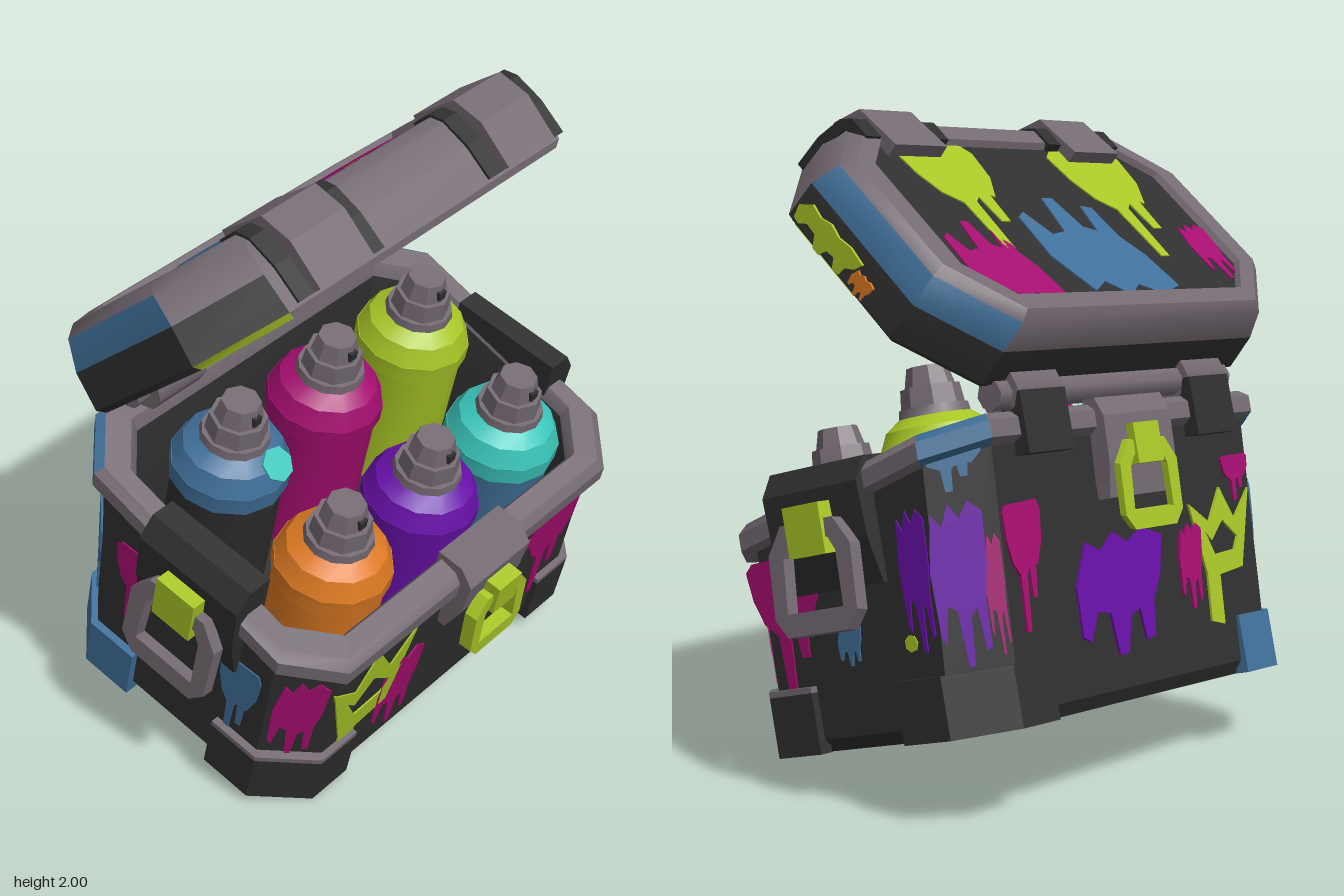
import * as THREE from 'three';
import { toCreasedNormals } from 'three/addons/utils/BufferGeometryUtils.js';

const mat = (name, color) => new THREE.MeshStandardMaterial({ name, color });
const DARK = mat('charcoal', 0x2f2f2f), GREY = mat('wornGrey', 0x746a72), LIME = mat('lime', 0xa8c626),
  BLUE = mat('blue', 0x40709a), MAGENTA = mat('magenta', 0xa50e70), PURPLE = mat('purple', 0x6810a8),
  ORANGE = mat('orange', 0xdd7a22), CYAN = mat('cyan', 0x3ac6ba);

function add(parent, name, geo, material, x = 0, y = 0, z = 0, rx = 0, ry = 0) {
  const m = new THREE.Mesh(geo, material);
  m.name = name;
  m.position.set(x, y, z);
  m.rotation.set(rx, ry, 0, 'YXZ');
  parent.add(m);
  return m;
}

// Corner-cut rectangle; sides run right, back right, back, back left, left, front left, front, front right
function ring({ w, d, c, y, z = 0, slope = 0 }) {
  return [[w, d - c], [w, c - d], [w - c, -d], [c - w, -d], [-w, c - d], [-w, d - c], [c - w, d], [w - c, d]]
    .map(([px, pz]) => new THREE.Vector3(px, y - slope * (pz + z), pz + z));
}

// Skin through the rings, closed by a cap at each end; paint(band, side) picks the material
function loft(parent, name, specs, paint) {
  const rings = specs.map(ring), pos = [], mats = [], geo = new THREE.BufferGeometry();
  const tri = (m, ...v) => {
    if (!mats.includes(m)) mats.push(m);
    geo.addGroup(pos.length / 3, 3, mats.indexOf(m));
    v.forEach(p => pos.push(p.x, p.y, p.z));
  };
  const cap = (r, m, flip) => {
    const mid = r.reduce((s, p) => s.add(p), new THREE.Vector3()).divideScalar(8);
    r.forEach((p, j) => flip ? tri(m, r[(j + 1) % 8], p, mid) : tri(m, p, r[(j + 1) % 8], mid));
  };
  cap(rings[0], DARK, true);
  for (let i = 0; i < rings.length - 1; i++) for (let j = 0; j < 8; j++) {
    const a = rings[i], b = rings[i + 1], k = (j + 1) % 8, m = paint(i, j);
    tri(m, a[j], a[k], b[k]);
    tri(m, a[j], b[k], b[j]);
  }
  cap(rings[rings.length - 1], DARK, false);
  geo.setAttribute('position', new THREE.Float32BufferAttribute(pos, 3));
  return add(parent, name, toCreasedNormals(geo, 0.55), mats);
}

const outline = pts => new THREE.Shape(pts.map(p => new THREE.Vector2(...p)));
const extrude = (shape, depth) => new THREE.ExtrudeGeometry(shape, { depth, bevelEnabled: false });

// Side profile given as [z, y], extruded across the width
const profile = (pts, width) => extrude(outline(pts), width).rotateY(-Math.PI / 2).translate(width / 2, 0, 0);

// Paint splats: a blob with runs hanging from it, and a jagged patch
const DRIP = [[-.5, -.06], [-.4, 0], [.42, .02], [.5, -.06], [.46, -.3], [.3, -.5], [.25, -.48], [.22, -.74], [.11, -.74],
  [.08, -.5], [0, -.55], [-.03, -1], [-.14, -1], [-.17, -.56], [-.34, -.46], [-.45, -.28]];
const JAG = [[-.5, .1], [-.36, .45], [-.2, .36], [-.05, .5], [.1, .4], [.28, .5], [.5, .42], [.44, .1], [.34, -.1],
  [.32, -.4], [.22, -.42], [.17, -.15], [.06, -.2], [0, -.5], [-.1, -.5], [-.16, -.15], [-.3, -.12], [-.4, -.35], [-.48, -.3]];
const place = (pts, x, y, w, h) => outline(pts.map(([a, b]) => [x + a * w, y + b * h]));
const drip = (...at) => place(DRIP, ...at);
const jag = (...at) => place(JAG, ...at);
const dot = (x, y, r) => outline([0, 1, 2, 3, 4, 5, 6].map(i => [x + r * Math.cos(i * .9), y + r * Math.sin(i * .9)]));
const crown = (x, y, s) => {
  const at = ([a, b]) => [x + a * s, y + b * s];
  const shape = outline([[-.5, .4], [-.2, .2], [.02, .52], [.22, .2], [.5, .48], [.28, -.28], [-.1, -.32],
    [-.1, -.8], [-.3, -.75], [-.3, -.3]].map(at));
  shape.holes.push(new THREE.Path([[-.28, .12], [-.15, -.12], [.17, -.1], [.24, .02], [.02, .2], [-.18, .02]]
    .map(p => new THREE.Vector2(...at(p)))));
  return shape;
};

// Clasp or carry handle: back block, tab and hanging loop
function clasp(parent, name, [plate, tab, loop], [size, depth], x, y, z, ry, tilt) {
  const g = new THREE.Group();
  g.name = name;
  g.position.set(x, y, z);
  g.rotation.set(0, ry, 0);
  g.scale.set(size, size, depth);
  add(g, 'mountPlate', profile([[-.05, -.25], [.04, -.25], [.08, -.15], [.09, -.03], [.04, .02], [-.05, .02]], .29), plate);
  add(g, 'tab', new THREE.BoxGeometry(.11, .11, .06), tab, 0, -.115, .11);
  const frame = outline([[-.08, 0], [.08, 0], [.125, -.06], [.125, -.2], [.09, -.24], [-.09, -.24], [-.125, -.2], [-.125, -.06]]);
  frame.holes.push(new THREE.Path([[-.06, -.04], [-.08, -.07], [-.085, -.19], [.085, -.19], [.08, -.07], [.06, -.04]]
    .map(p => new THREE.Vector2(...p))));
  add(g, 'loop', extrude(frame, .045), loop, 0, -.1, .08, tilt);
  parent.add(g);
}

function sprayCan(parent, x, z, top, upper, lower) {
  const g = new THREE.Group();
  g.name = 'sprayCan';
  g.position.set(x, 0, z);
  const cyl = (name, r1, r2, y1, y2, m, n = 12) =>
    add(g, name, toCreasedNormals(new THREE.CylinderGeometry(r1, r2, y2 - y1, n), .6), m, 0, (y1 + y2) / 2);
  cyl('canBody', .172, .172, .28, top - .29, lower);
  cyl('canEdge', .185, .185, top - .3, top - .24, upper);
  cyl('canShoulder', .155, .183, top - .24, top - .18, upper);
  cyl('canTop', .1, .155, top - .18, top - .14, upper);
  cyl('canCollar', .105, .11, top - .15, top - .12, GREY);
  cyl('nozzleBase', .088, .095, top - .12, top - .06, GREY, 8);
  cyl('nozzle', .06, .075, top - .06, top, GREY, 8);
  add(g, 'sprayHole', new THREE.BoxGeometry(.03, .03, .02), DARK, 0, top - .035, .064);
  parent.add(g);
}

export function createModel() {
  const model = new THREE.Group();
  model.name = 'paintChest';
  const chest = new THREE.Group();
  chest.name = 'tiltedChest';
  chest.position.set(.01, .151, -.099);
  chest.rotation.set(.262, .175, 0);
  model.add(chest);

  // Tub with a thick rim that slopes down to the front
  const slope = .2;
  loft(chest, 'tub', [
    { w: .70, d: .44, c: .13, y: 0 }, { w: .74, d: .475, c: .14, y: .04 },
    { w: .74, d: .50, c: .14, y: .68, z: -.03, slope }, { w: .775, d: .535, c: .15, y: .695, z: -.025, slope },
    { w: .775, d: .535, c: .15, y: .745, z: -.025, slope }, { w: .75, d: .51, c: .14, y: .77, z: -.025, slope },
    { w: .69, d: .45, c: .13, y: .77, z: -.025, slope }, { w: .67, d: .43, c: .12, y: .73, z: -.025, slope },
    { w: .64, d: .40, c: .12, y: .27, z: -.01 }],
  (i, j) => i < 2 || i > 6 ? DARK : i < 5 && (j === 1 || j === 3) ? BLUE : GREY);

  // Corner feet
  for (const sx of [-1, 1]) for (const sz of [-1, 1]) {
    const plan = outline([[.46, .45], [.46, .495], [.62, .495], [.765, .35], [.765, .17], [.72, .17], [.72, .32], [.59, .45]]
      .map(([x, z]) => [sx * x, -sz * z]));
    add(chest, 'foot', extrude(plan, .18).rotateX(-Math.PI / 2), sx < 0 && sz < 0 ? BLUE : DARK);
    if (sz > 0) add(chest, 'footTrim', extrude(plan, .018).rotateX(-Math.PI / 2), GREY, 0, .18, 0);
  }

  // Front and back clasps, side handles
  clasp(chest, 'frontClasp', [GREY, LIME, LIME], [1, 1], .03, .685, .46, 0, -.08);
  clasp(chest, 'backClasp', [GREY, LIME, LIME], [1.1, .5], 0, .87, -.545, Math.PI, .12);
  for (const sx of [-1, 1])
    clasp(chest, 'sideHandle', [DARK, LIME, GREY], [1.35, .9], sx * .72, .8, .01, sx * Math.PI / 2, -.1);

  // Spray cans in two rows
  [[BLUE, DARK], [MAGENTA, MAGENTA], [LIME, LIME]].forEach(([a, b], i) => sprayCan(chest, -.41 + i * .43, -.2, 1.065, a, b));
  [[ORANGE, ORANGE], [PURPLE, PURPLE], [CYAN, BLUE]].forEach(([a, b], i) => sprayCan(chest, -.38 + i * .41, .215, .95, a, b));
  add(chest, 'cyanSpot', extrude(dot(0, 0, .055), .008), CYAN, -.38, .89, -.052, -.9);

  // Painted splats on the tub walls
  const splat = (shape, m, ...at) => add(chest, 'paintSplat', extrude(shape, .008), m, ...at);
  const front = [0, 0, .472, -.008], back = [0, 0, -.472, .083, Math.PI];
  const right = [.736, 0, 0, 0, Math.PI / 2], left = [-.736, 0, 0, 0, -Math.PI / 2];
  splat(crown(-.42, .33, .38), LIME, ...front);
  splat(jag(-.26, .23, .2, .32), MAGENTA, ...front);
  splat(drip(.47, .56, .26, .42), MAGENTA, ...front);
  splat(dot(.35, .45, .025), MAGENTA, ...front);
  splat(jag(-.1, .32, .42, .36), PURPLE, ...back);
  splat(crown(.42, .42, .32), LIME, ...back);
  splat(jag(.25, .36, .12, .26), MAGENTA, ...back);
  splat(drip(-.52, .62, .16, .36), MAGENTA, ...back);
  splat(drip(.52, .68, .14, .14), MAGENTA, ...back);
  splat(drip(-.24, .58, .3, .4), MAGENTA, ...right);
  splat(jag(.3, .45, .12, .4), PURPLE, ...right);
  splat(jag(0, .3, .1, .12), BLUE, ...right);
  splat(dot(.24, .28, .025), LIME, ...right);
  splat(drip(.22, .5, .16, .35), BLUE, ...left);
  splat(drip(-.22, .6, .18, .3), MAGENTA, ...left);
  const corner = (shape, m, sx, sz) =>
    splat(shape, m, sx * .669, .36, sz > 0 ? .401 : -.429, sz > 0 ? -.008 : .055, Math.atan2(sx, sz));
  corner(jag(0, 0, .16, .34), MAGENTA, -1, 1);
  corner(drip(0, .2, .19, .34), MAGENTA, 1, 1);
  corner(jag(-.02, .06, .17, .46), PURPLE, 1, -1);
  corner(jag(.07, .02, .06, .34), MAGENTA, 1, -1);
  corner(drip(0, .24, .19, .4), BLUE, -1, -1);
  corner(drip(0, .46, .19, .14), BLUE, 1, -1);

  // Hinges
  add(chest, 'hingeRod', new THREE.CylinderGeometry(.045, .045, 1.1, 8).rotateZ(Math.PI / 2), GREY, 0, .93, -.51);
  for (const x of [-.4, .4]) {
    add(chest, 'hingeBarrel', new THREE.CylinderGeometry(.075, .075, .2, 8).rotateZ(Math.PI / 2), GREY, x, .94, -.5);
    add(chest, 'hingeBlock', new THREE.BoxGeometry(.2, .18, .08), DARK, x, .84, -.54);
  }

  // Open lid: a shallow tray, frame and inset top panel
  const lid = new THREE.Group();
  lid.name = 'lid';
  lid.position.set(-.01, .95, -.505);
  lid.rotation.x = -.93;
  chest.add(lid);
  loft(lid, 'lidShell', [
    { w: .62, d: .34, c: .14, y: .19, z: .465 }, { w: .695, d: .395, c: .17, y: .04, z: .465 },
    { w: .715, d: .41, c: .18, y: 0, z: .465 }, { w: .78, d: .455, c: .2, y: 0, z: .465 },
    { w: .805, d: .47, c: .21, y: .02, z: .465 }, { w: .795, d: .46, c: .2, y: .14, z: .46 },
    { w: .77, d: .435, c: .2, y: .235, z: .45 }, { w: .74, d: .405, c: .19, y: .265, z: .445 },
    { w: .665, d: .345, c: .13, y: .265, z: .445 }, { w: .655, d: .335, c: .12, y: .245, z: .445 }],
  (i, j) => {
    if (i < 1) return DARK;
    if (i < 4) return j === 5 || j === 7 || (i === 2 && j === 3) ? LIME : j === 6 && i > 1 ? GREY : DARK;
    if (i === 4) return j === 6 || j === 7 ? GREY : DARK;
    return i === 5 && [0, 1, 3, 4].includes(j) ? BLUE : GREY;
  });

  // Straps over the front edge, with dark worn bands beside them
  for (const x of [-.38, .44]) {
    add(lid, 'lidStrap', profile([[.88, .03], [.965, .03], [.955, .18], [.9, .275], [.72, .29], [.72, .245], [.86, .23]], .22), GREY, x);
    for (const dx of [-.145, .145])
      add(lid, 'wornBand', profile([[.9, .03], [.943, .03], [.928, .145], [.892, .24], [.855, .273], [.775, .273], [.775, .245], [.86, .23]], .06),
        DARK, x + dx);
  }

  // Painted drips inside the lid, on its top panel and along its right edge
  const lidSplat = (shape, m, inside) => add(lid, 'lidPaint', extrude(shape, .008), m,
    0, inside ? .195 : .241, 0, inside ? Math.PI / 2 : -Math.PI / 2, inside ? 0 : Math.PI);
  for (const x of [-.36, .33]) lidSplat(drip(x, .79, .38, .54), LIME, true);
  lidSplat(drip(.36, .77, .36, .5), LIME);
  lidSplat(drip(-.34, .77, .34, .46), LIME);
  lidSplat(jag(.02, .32, .48, -.44), BLUE);
  lidSplat(jag(-.46, .26, .32, -.34), MAGENTA);
  lidSplat(jag(.58, .29, .15, .26), MAGENTA);
  lidSplat(dot(-.17, .4, .025), GREY);
  const edge = [.798, 0, 0, 0, Math.PI / 2];
  add(lid, 'limeEdge', extrude(jag(-.56, .06, .3, .1), .009), LIME, ...edge);
  add(lid, 'orangeFleck', extrude(jag(-.38, .05, .09, .07), .009), ORANGE, ...edge);
  add(lid, 'limeRim', new THREE.BoxGeometry(.06, .006, .3), LIME, .747, -.002, .56);
  return model;
}
